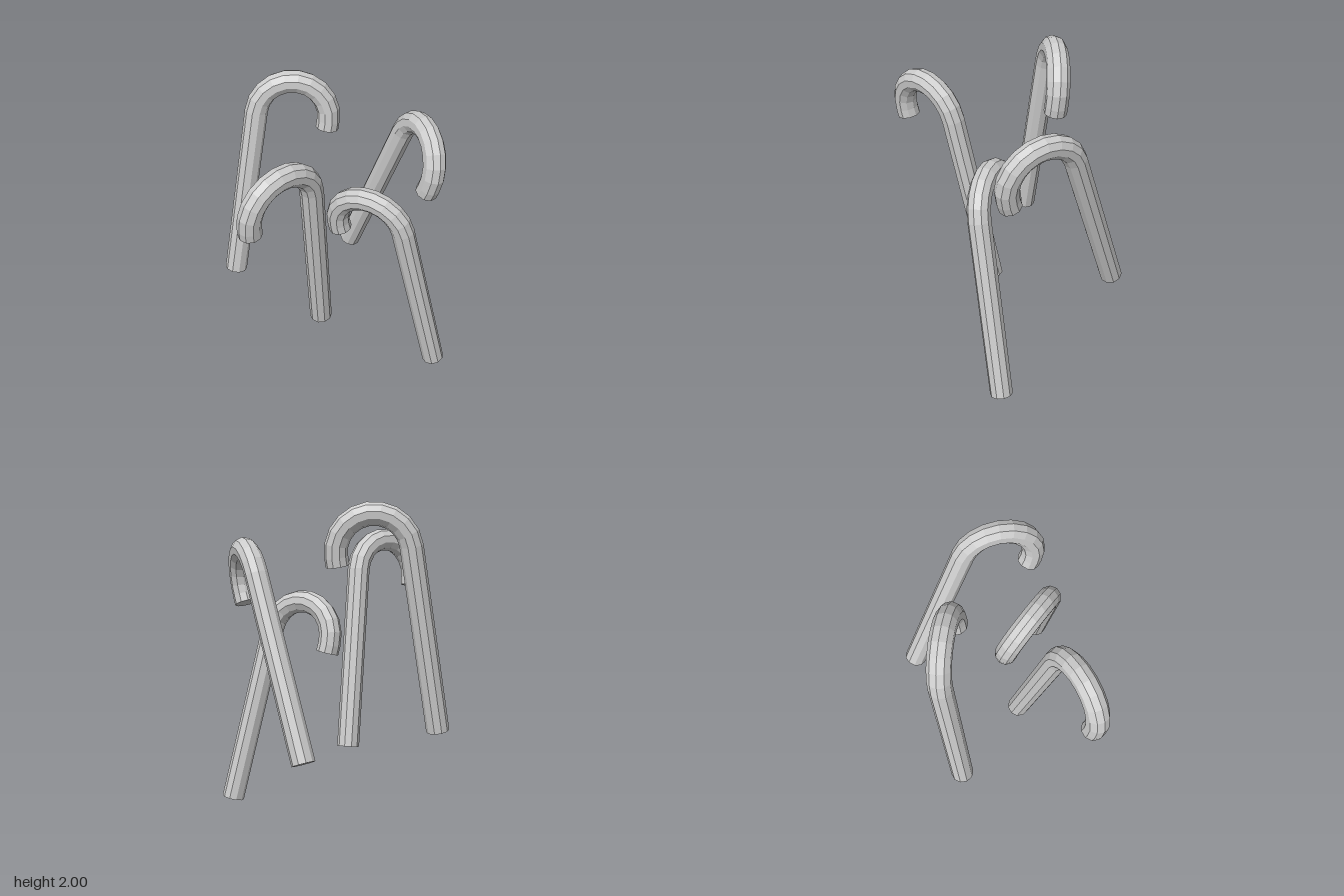
import * as THREE from 'three';

const STEM = 1.182, HOOK = 0.23, TIP = 0.055, RADIUS = 0.073, SIDES = 10, BENDS = 10;

// One cane: stem up local +y from the origin, hook bending over towards +x
function caneGeometry() {
  // Centre line stations: x, y and heading angle away from straight up
  const path = [[0, 0, 0]];
  for (let i = 0; i <= BENDS; i++) {
    const a = Math.PI * i / BENDS;
    path.push([HOOK - HOOK * Math.cos(a), STEM + HOOK * Math.sin(a), a]);
  }
  path.push([2 * HOOK, STEM - TIP, Math.PI]);

  const pos = [], index = [];
  for (const [x, y, a] of path) {
    for (let j = 0; j < SIDES; j++) {
      const t = 2 * Math.PI * j / SIDES;
      const n = RADIUS * Math.cos(t);
      pos.push(x + n * Math.cos(a), y - n * Math.sin(a), RADIUS * Math.sin(t));
    }
  }
  for (let i = 0; i < path.length - 1; i++) {
    for (let j = 0; j < SIDES; j++) {
      const k = (j + 1) % SIDES;
      const a = i * SIDES + j, b = i * SIDES + k;
      index.push(a, a + SIDES, b, b, a + SIDES, b + SIDES);
    }
  }
  // Flat end caps
  const last = (path.length - 1) * SIDES;
  for (let j = 1; j < SIDES - 1; j++) {
    index.push(0, j, j + 1, last, last + j + 1, last + j);
  }
  const flat = new THREE.BufferGeometry();
  flat.setAttribute('position', new THREE.Float32BufferAttribute(pos, 3));
  flat.setIndex(index);
  const geometry = flat.toNonIndexed();
  geometry.computeVertexNormals();
  return geometry;
}

// Each cane: foot position, stem direction and hook tip position
const CANES = [
  { name: 'backCane', foot: [-0.39, 0.577, -0.485], stem: [0.175, 0.985, 0], tip: [0.19, 1.62, -0.255] },
  { name: 'rightCane', foot: [-0.04, 0.393, 0.065], stem: [-0.142, 0.979, 0.142], tip: [-0.645, 1.422, 0.28] },
  { name: 'frontCane', foot: [0.62, 0.02, 0.485], stem: [-0.242, 0.969, -0.044], tip: [0.13, 1.045, 0.05] },
  { name: 'leftCane', foot: [0.545, 0.48, -0.483], stem: [0.08, 0.92, 0.38], tip: [0.545, 1.345, 0.385] },
];

export function createModel() {
  const group = new THREE.Group();
  group.name = 'canes';
  const geometry = caneGeometry();
  const material = new THREE.MeshStandardMaterial({ color: 0xcccccc, flatShading: true });
  for (const { name, foot, stem, tip } of CANES) {
    const origin = new THREE.Vector3(...foot);
    const up = new THREE.Vector3(...stem).normalize();
    // Hook direction: the part of foot-to-tip at right angles to the stem
    const side = new THREE.Vector3(...tip).sub(origin);
    side.addScaledVector(up, -side.dot(up)).normalize();
    const across = new THREE.Vector3().crossVectors(side, up);
    const cane = new THREE.Mesh(geometry, material);
    cane.name = name;
    cane.quaternion.setFromRotationMatrix(new THREE.Matrix4().makeBasis(side, up, across));
    cane.position.copy(origin);
    group.add(cane);
  }
  return group;
}
